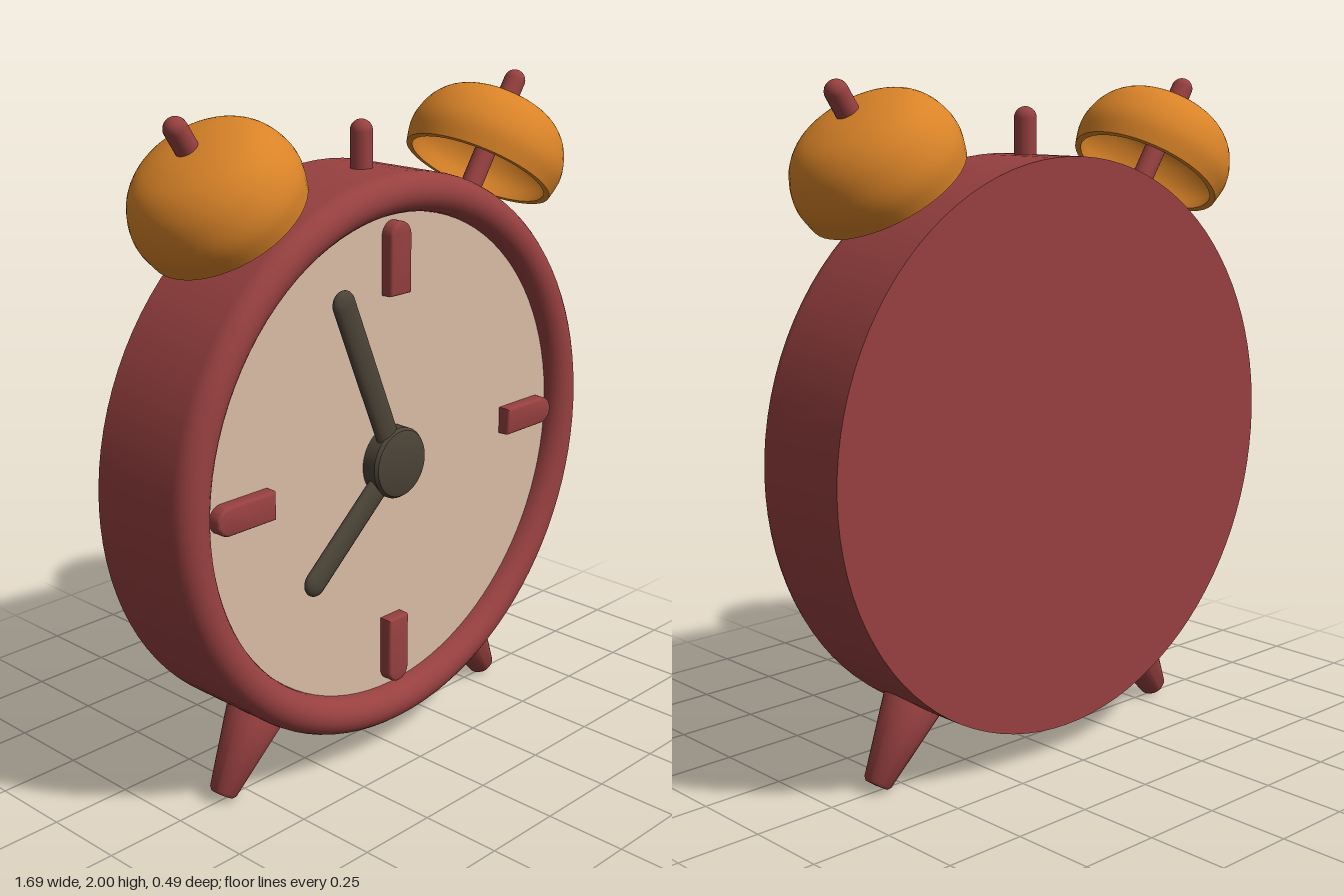
import * as THREE from 'three';
import { toCreasedNormals } from 'three/addons/utils/BufferGeometryUtils.js';

const mat = (color) => new THREE.MeshStandardMaterial({ color });
const V2 = (x, y) => new THREE.Vector2(x, y);
const CY = 0.94; // height of the clock centre

export function createModel() {
  const red = mat(0x984040), orange = mat(0xd98328), cream = mat(0xd9bca4), dark = mat(0x4b4337);
  orange.side = THREE.DoubleSide;
  const group = new THREE.Group();
  const clock = new THREE.Group();
  clock.name = 'clock';
  clock.position.y = CY;
  group.add(clock);

  const add = (name, geometry, material, parent = clock) => {
    const mesh = new THREE.Mesh(geometry, material);
    mesh.name = name;
    parent.add(mesh);
    return mesh;
  };
  const lathe = (points, segments = 48) =>
    toCreasedNormals(new THREE.LatheGeometry(points, segments), 0.6);

  // Drum body with a flat back and a rounded front rim
  const profile = [V2(0, -0.18), V2(0.845, -0.18)];
  for (let i = 0; i <= 12; i++) {
    const a = (i / 12) * Math.PI;
    profile.push(V2(0.787 + 0.058 * Math.cos(a), 0.122 + 0.058 * Math.sin(a)));
  }
  profile.push(V2(0.729, 0.08));
  add('body', lathe(profile, 96).rotateX(Math.PI / 2), red);

  // Dial
  add('dial', new THREE.CircleGeometry(0.74, 64), cream).position.z = 0.12;

  // Hour markers: square inner end, round outer end
  const w = 0.034;
  const markerShape = new THREE.Shape();
  markerShape.moveTo(-w, 0.508);
  markerShape.lineTo(w, 0.508);
  markerShape.lineTo(w, 0.67);
  markerShape.absarc(0, 0.67, w, 0, Math.PI, false);
  markerShape.closePath();
  const markerGeo = toCreasedNormals(new THREE.ExtrudeGeometry(markerShape, {
    depth: 0.03, bevelSize: 0.008, bevelThickness: 0.01, bevelSegments: 3, curveSegments: 12,
  }), 0.6);
  for (let i = 0; i < 4; i++) {
    const marker = add('hourMarker', markerGeo, red);
    marker.position.z = 0.12;
    marker.rotation.z = (i * Math.PI) / 2;
  }

  // Hands and hub
  const hand = (name, x, y, z) => {
    const length = Math.hypot(x, y);
    const geo = new THREE.CapsuleGeometry(0.04, length - 0.04, 8, 16);
    geo.translate(0, (length - 0.04) / 2, 0).scale(1, 1, 0.5);
    const mesh = add(name, geo, dark);
    mesh.position.set(-0.012, 0, z);
    mesh.rotation.z = Math.atan2(-x, y);
  };
  hand('minuteHand', -0.23, 0.55, 0.15);
  hand('hourHand', -0.36, -0.31, 0.145);
  const hub = add('hub', lathe([V2(0, 0), V2(0.107, 0), V2(0.107, 0.045),
    V2(0.1, 0.055), V2(0.085, 0.06), V2(0, 0.06)]).rotateX(Math.PI / 2), dark);
  hub.position.set(-0.012, 0, 0.12);

  // Rod with a rounded tip, between two distances from the centre
  const rod = (name, from, to, parent) => {
    const r = 0.033;
    add(name, new THREE.CapsuleGeometry(r, to - from - 2 * r, 8, 20), red, parent)
      .position.y = (from + to) / 2;
  };
  rod('topKnob', 0.78, 0.982, clock);

  // Hollow bell: outer curve inwards to the apex, preceded by the inner wall
  const outer = new THREE.SplineCurve([V2(0.234, 0), V2(0.245, 0.06), V2(0.236, 0.115),
    V2(0.208, 0.17), V2(0.158, 0.212), V2(0.08, 0.236), V2(0, 0.242)]).getPoints(28);
  outer[outer.length - 1].x = 0;
  const inner = outer.map((p) => V2(p.x * 0.92, p.y * 0.92)).reverse();
  const bellGeo = lathe([...inner, ...outer], 48);
  const footGeo = lathe([V2(0, 1.094), V2(0.034, 1.092), V2(0.042, 1.082), V2(0.088, 0.84),
    V2(0.08, 0.81), V2(0, 0.8)].map((p) => V2(p.x, -p.y)), 32);

  // Bells with their rods above, feet below, mirrored left and right
  for (const side of [1, -1]) {
    const bell = new THREE.Group();
    bell.name = side > 0 ? 'leftBell' : 'rightBell';
    bell.rotation.z = -side * 0.585;
    clock.add(bell);
    rod('bellRod', 0.78, 1.265, bell);
    add('bellDome', bellGeo, orange, bell).position.y = 0.928;

    const foot = add(side > 0 ? 'leftFoot' : 'rightFoot', footGeo, red);
    foot.rotation.z = side * 0.57;
  }
  return group;
}
